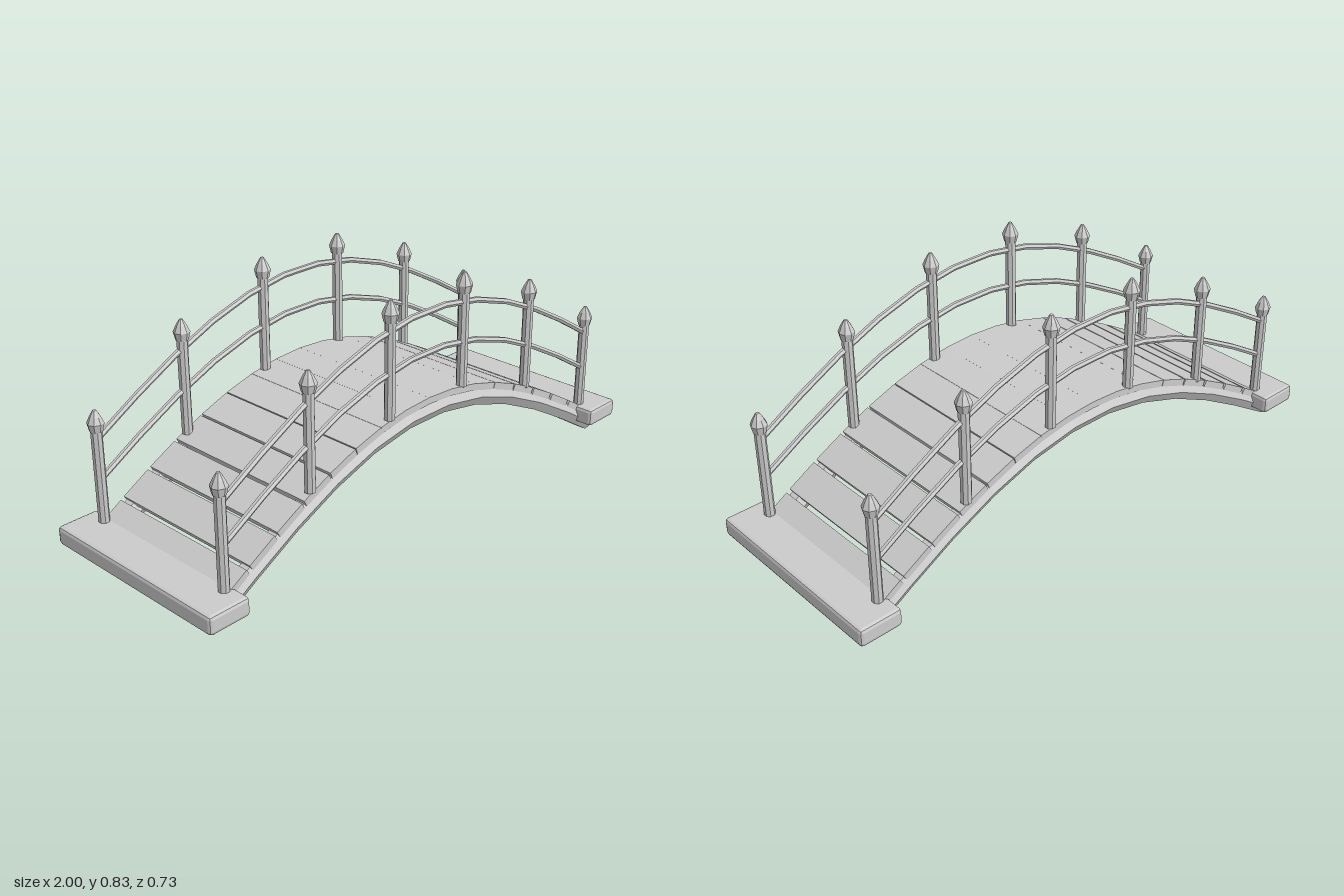
import * as THREE from 'three';
import { RoundedBoxGeometry } from 'three/addons/geometries/RoundedBoxGeometry.js';

const HALF = 0.945, BASE = 0.027, RISE = 0.372, K = Math.PI / 2 / HALF;
const archY = (x) => BASE + RISE * Math.cos(K * x);
const archSlope = (x) => Math.atan(-RISE * K * Math.sin(K * x));

// The arch line, evenly spaced in x and lifted by a fixed height
class ArchCurve extends THREE.Curve {
  constructor(half, lift, z) {
    super();
    Object.assign(this, { half, lift, z });
  }
  getPoint(t, target = new THREE.Vector3()) {
    const x = (2 * t - 1) * this.half;
    return target.set(x, archY(x) + this.lift, this.z);
  }
  getPointAt(t, target) { return this.getPoint(t, target); }
  getTangentAt(t, target = new THREE.Vector3()) {
    const a = archSlope((2 * t - 1) * this.half);
    return target.set(Math.cos(a), Math.sin(a), 0);
  }
}

export function createModel() {
  const group = new THREE.Group();
  const material = new THREE.MeshStandardMaterial({ color: 0xcccccc, flatShading: true });

  const add = (name, geometry, x = 0, y = 0, z = 0) => {
    const mesh = new THREE.Mesh(geometry, material);
    mesh.name = name;
    mesh.position.set(x, y, z);
    group.add(mesh);
    return mesh;
  };
  const archTube = (name, half, lift, z, radius) =>
    add(name, new THREE.TubeGeometry(new ArchCurve(half, lift, z), 11, radius, 6), 0, 0, 0);

  // Deck planks, each tilted to follow the arch
  const step = 0.1125;
  const plank = new THREE.BoxGeometry(0.116, 0.024, 0.6);
  for (let i = 0; i < 16; i++) {
    const x = (i - 7.5) * step;
    add('deckPlank', plank, x, archY(x) + 0.035, 0).rotation.z = archSlope(x);
  }

  // Bevelled sills at both ends
  const sill = new RoundedBoxGeometry(0.153, 0.064, 0.734, 1, 0.012);
  for (const s of [-1, 1]) add('endSill', sill, s * 0.9235, 0.094, 0);

  const post = new THREE.CylinderGeometry(0.0187, 0.0187, 0.33, 8).rotateY(Math.PI / 8);
  const finial = new THREE.LatheGeometry([
    [0, 0], [0.0215, 0], [0.028, 0.028], [0.018, 0.05], [0.006, 0.07], [0, 0.071],
  ].map(([r, y]) => new THREE.Vector2(r, y)), 8);

  for (const side of [-1, 1]) {
    // Hexagonal bearer beam with closed ends
    const beamZ = side * 0.275;
    archTube('archBeam', HALF, 0, beamZ, 0.036);
    for (const s of [-1, 1]) {
      const cap = new THREE.CircleGeometry(0.036, 6)
        .rotateY(s * Math.PI / 2)
        .rotateZ(archSlope(s * HALF));
      add('beamEnd', cap, s * HALF, archY(HALF), beamZ);
    }

    // Upper and lower handrails
    const railZ = side * 0.287;
    archTube('upperRail', 0.878, 0.345, railZ, 0.0105);
    archTube('lowerRail', 0.878, 0.205, railZ, 0.0105);

    // Posts with pointed finials
    for (let i = 0; i < 6; i++) {
      const x = (i - 2.5) * 0.351;
      add('railPost', post, x, archY(x) + 0.21, railZ);
      add('postFinial', finial, x, archY(x) + 0.374, railZ);
    }
  }
  return group;
}
